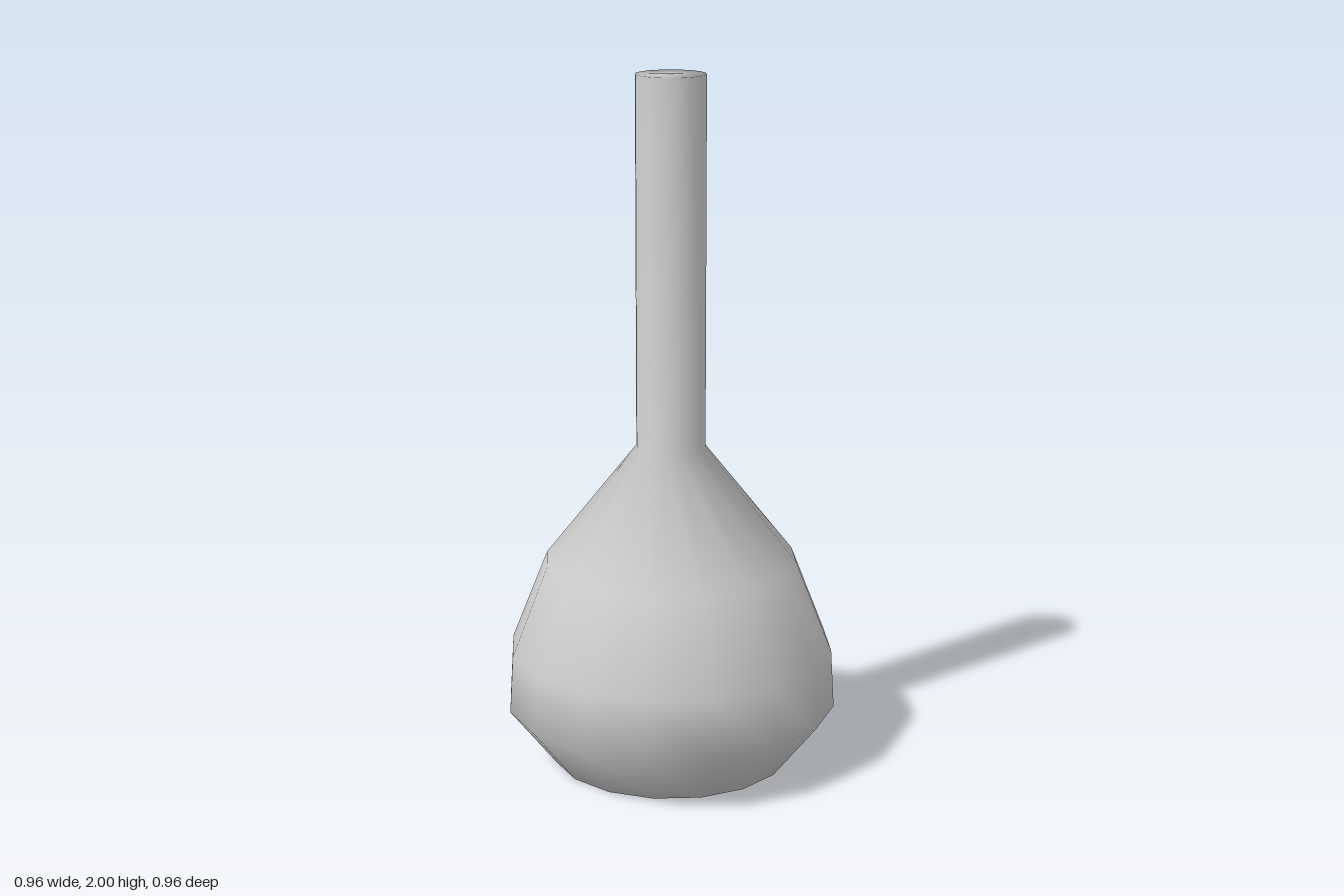
import * as THREE from 'three';

// Low-poly long-necked flask, turned from one closed profile
export function createModel() {
  const group = new THREE.Group();
  group.name = 'flask';

  const profile = [
    [0, 0], [0.345, 0],                           // floor
    [0.48, 0.17], [0.47, 0.34], [0.365, 0.605],   // bulb
    [0.1, 0.94], [0.1, 2],                        // neck
    [0, 2],                                       // top cap
  ].map(([r, y]) => new THREE.Vector2(r, y));

  const body = new THREE.Mesh(
    new THREE.LatheGeometry(profile, 16),
    new THREE.MeshStandardMaterial({ color: 0xcccccc }),
  );
  body.name = 'flaskBody';
  group.add(body);
  return group;
}
